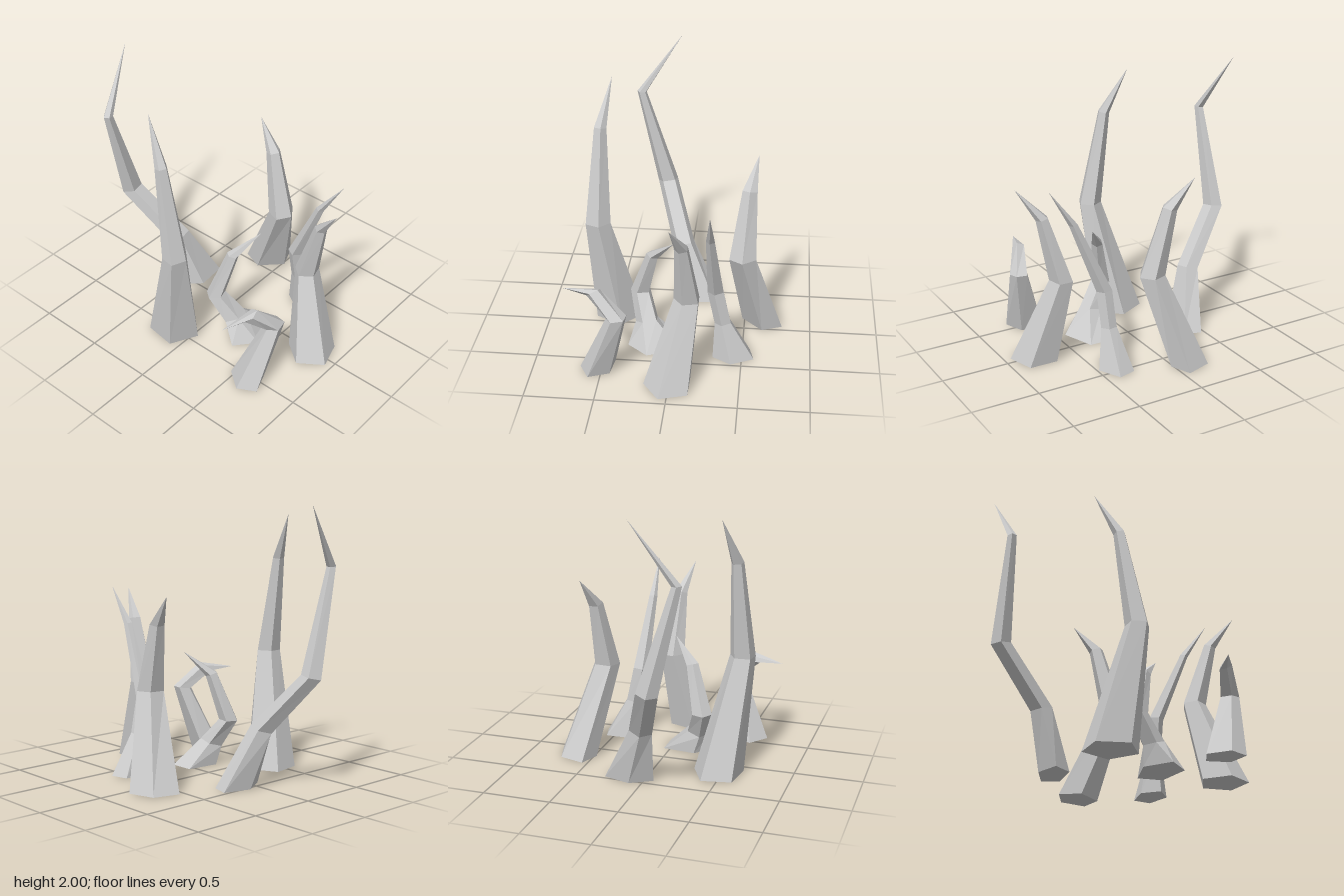
import * as THREE from 'three';

const SIDES = 5;
const DEPTH = 1.1; // spikes are slightly deeper than wide

// Slope that leans a ring towards its path, kept gentle.
const lean = (run, rise) => THREE.MathUtils.clamp((-0.5 * run) / rise, -0.6, 0.6);

// One closed spike: a skewed five-sided foot, rings along a bent path, a pointed tip.
function spike(name, foot, rings, tip) {
  const [footX, footZ, footRx, footRz, turn, skew] = foot;
  const path = [[footX, 0, footZ], ...rings, tip].map((p) => new THREE.Vector3(p[0], p[1], p[2]));
  const points = [];

  function addRing(centre, rx, rz, shear, slopeX, slopeZ) {
    for (let i = 0; i < SIDES; i++) {
      const a = THREE.MathUtils.degToRad(turn) + (i / SIDES) * Math.PI * 2;
      const dz = Math.sin(a) * rz;
      const dx = Math.cos(a) * rx + dz * shear;
      points.push(centre.x + dx, centre.y + dx * slopeX + dz * slopeZ, centre.z + dz);
    }
  }

  addRing(path[0], footRx, footRz, skew, 0, 0);
  rings.forEach((ring, k) => {
    const before = path[k + 1].clone().sub(path[k]).normalize();
    const after = path[k + 2].clone().sub(path[k + 1]).normalize();
    const way = before.add(after);
    addRing(path[k + 1], ring[3], ring[3] * DEPTH, 0, lean(way.x, way.y), lean(way.z, way.y));
  });
  points.push(...tip);

  const index = [];
  const top = rings.length * SIDES;
  for (let i = 0; i < SIDES; i++) {
    const j = (i + 1) % SIDES;
    for (let r = 0; r < top; r += SIDES) {
      index.push(r + i, r + SIDES + i, r + j, r + j, r + SIDES + i, r + SIDES + j);
    }
    index.push(top + i, top + SIDES, top + j);
    if (i > 0 && i < SIDES - 1) index.push(0, i, i + 1); // underside
  }

  const shared = new THREE.BufferGeometry();
  shared.setAttribute('position', new THREE.Float32BufferAttribute(points, 3));
  shared.setIndex(index);
  const geometry = shared.toNonIndexed();
  geometry.computeVertexNormals();
  const material = new THREE.MeshStandardMaterial({ color: 0xcccccc, flatShading: true });
  const mesh = new THREE.Mesh(geometry, material);
  mesh.name = name;
  return mesh;
}

export function createModel() {
  const group = new THREE.Group();
  group.name = 'spikeCluster';

  // foot: x, z, half width, half depth, turn, skew; rings: x, y, z, radius
  group.add(
    spike('tallLeftSpike', [-0.425, -0.12, 0.11, 0.19, 27, 0],
      [[-0.545, 0.42, 0.01, 0.079], [-0.87, 0.815, 0.165, 0.073], [-0.855, 1.565, 0.365, 0.034]],
      [-0.95, 2, 0.06]),
    spike('tallFrontSpike', [-0.16, 0.47, 0.2, 0.19, -10, 0],
      [[-0.01, 0.86, 0.6, 0.088], [-0.13, 1.57, 0.58, 0.043]],
      [-0.3, 1.9, 0.51]),
    spike('backSpike', [-0.14, -0.635, 0.155, 0.16, 0, -0.3],
      [[0.09, 0.67, -0.48, 0.094], [-0.03, 1.16, -0.515, 0.052]],
      [-0.2, 1.37, -0.57]),
    spike('backRightSpike', [0.37, -0.445, 0.115, 0.16, 8, 0.1],
      [[0.37, 0.29, -0.36, 0.057], [0.375, 0.555, -0.305, 0.057], [0.595, 1.08, -0.275, 0.03]],
      [0.78, 1.35, -0.28]),
    spike('rightSpike', [0.78, 0, 0.18, 0.18, 19, 0],
      [[0.615, 0.62, -0.12, 0.088], [0.74, 1.09, -0.09, 0.045]],
      [0.91, 1.31, -0.02]),
    spike('centreSpike', [0.275, 0.13, 0.155, 0.22, 18, 0.12],
      [[0.2, 0.165, 0.215, 0.08], [0.078, 0.35, 0.275, 0.07], [0.16, 0.7, 0.175, 0.042]],
      [0.29, 0.87, 0.01]),
    spike('hookedFrontSpike', [0.6, 0.53, 0.14, 0.13, 26, 0.2],
      [[0.712, 0.495, 0.37, 0.069], [0.63, 0.65, 0.54, 0.046]],
      [0.57, 0.635, 0.77]),
  );
  return group;
}
